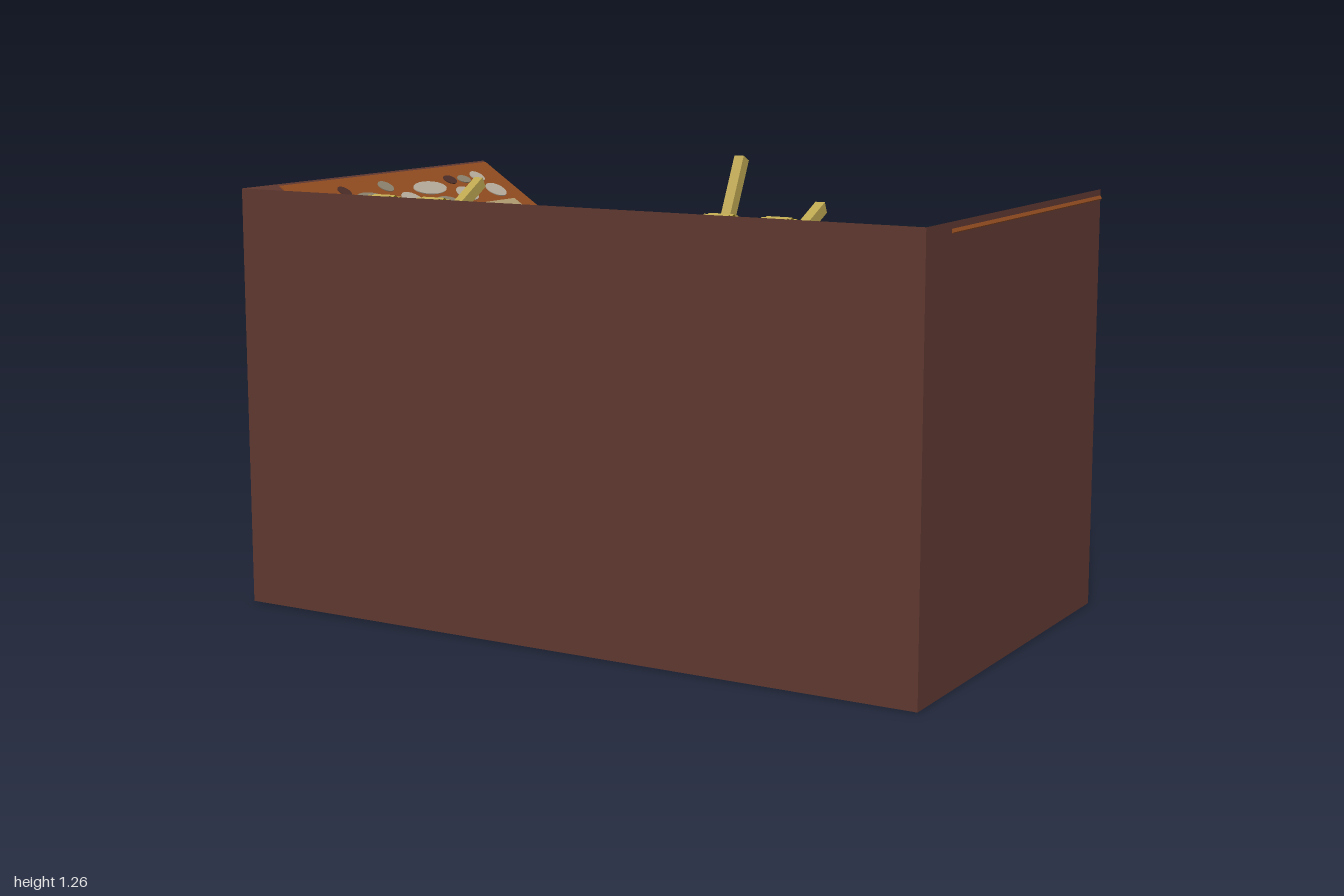
import * as THREE from 'three';

const mat = (name, color) => {
  const m = new THREE.MeshStandardMaterial({ color });
  m.name = name;
  return m;
};

export function createModel() {
  const body = mat('darkBrown', 0x5f3830), panelMat = mat('rustOrange', 0x8f4a1f);
  const brass = mat('brass', 0xbca650), olive = mat('olive', 0x7d6c12);
  const pale = mat('paleStone', 0xb3aa99), grey = mat('warmGrey', 0x89816c);
  const tan = mat('tan', 0xb09a70), dark = mat('deepBrown', 0x4a2c26);
  const dialMat = mat('bronze', 0x8a6a38);

  const model = new THREE.Group();
  model.name = 'controlDesk';
  const add = (parent, name, geo, material, x = 0, y = 0, z = 0) => {
    const m = new THREE.Mesh(geo, material);
    m.name = name;
    m.position.set(x, y, z);
    parent.add(m);
    return m;
  };
  const addGroup = (parent, name, x, y, z) => {
    const g = new THREE.Group();
    g.name = name;
    g.position.set(x, y, z);
    parent.add(g);
    return g;
  };

  // U-shaped desk: the same sloped section runs along both wings and the front
  const LOW = 0.926, HIGH = 1.135, IN = 0.71, OUT = 0.995;
  const SLOPE = Math.atan2(HIGH - LOW, OUT - IN);
  const section = new THREE.Shape([[IN, 0], [OUT, 0], [OUT, HIGH], [IN, LOW]].map(p => new THREE.Vector2(...p)));
  const prism = length =>
    new THREE.ExtrudeGeometry(section, { depth: length, bevelEnabled: false }).translate(0, 0, -length / 2);
  add(model, 'leftWing', prism(1.13), body);
  add(model, 'rightWing', prism(1.13), body).rotation.y = Math.PI;
  add(model, 'frontDesk', prism(1.99).rotateY(-Math.PI / 2), body, 0, 0, -0.43);

  // Instrument plates: [across, along, half width or width, half length or length, material, layer]
  const rounds = [
    [0.08, -0.38, 0.032, 0.064, pale, 1],
    [-0.077, -0.228, 0.024, 0.026, pale, 2], [-0.077, -0.15, 0.024, 0.026, pale, 2],
    [0.035, -0.2, 0.06, 0.082, grey, 1], [0.035, -0.2, 0.04, 0.05, pale, 2], [0.035, -0.2, 0.013, 0.015, dark, 3],
    [0.11, -0.27, 0.022, 0.022, dark, 1], [0.11, -0.08, 0.024, 0.028, grey, 1],
    [-0.074, -0.01, 0.046, 0.065, grey, 1], [-0.07, 0.005, 0.022, 0.03, pale, 2],
    [0.035, -0.03, 0.04, 0.042, pale, 1], [-0.01, 0.105, 0.046, 0.064, grey, 1],
    [0.08, 0.1, 0.03, 0.075, pale, 1], [-0.085, 0.11, 0.028, 0.025, grey, 1],
    [0.035, 0.235, 0.033, 0.043, pale, 1], [0.105, 0.23, 0.02, 0.026, dark, 1],
    [0.035, 0.385, 0.032, 0.04, pale, 1], [0.1, 0.295, 0.018, 0.028, grey, 1],
    [0.105, 0.37, 0.024, 0.028, pale, 1],
  ];
  const rects = [
    [-0.042, -0.38, 0.15, 0.15, dark, 1], [-0.042, -0.38, 0.1, 0.09, panelMat, 2],
    [-0.03, -0.37, 0.065, 0.03, olive, 3],
    [-0.077, -0.19, 0.075, 0.165, dark, 1], [-0.065, 0.3, 0.1, 0.24, tan, 1],
  ];
  const T = 0.0025;

  // Panel with its instruments; the other wing carries it turned half round
  for (const side of [1, -1]) {
    const panel = addGroup(model, side > 0 ? 'leftPanel' : 'rightPanel', side * 0.8465, 1.0395, -0.072);
    panel.rotation.set(0, side > 0 ? 0 : Math.PI, 0.581);
    add(panel, 'panelBoard', new THREE.BoxGeometry(0.335, 0.025, 0.984), panelMat, 0, -0.0125, 0);
    for (const [u, w, ru, rw, m, layer] of rounds) {
      const gauge = add(panel, 'gauge', new THREE.CylinderGeometry(1, 1, T * layer, 20), m, u, T * layer / 2, w);
      gauge.scale.set(ru, 1, rw);
    }
    for (const [u, w, wu, ww, m, layer] of rects)
      add(panel, 'instrumentPlate', new THREE.BoxGeometry(wu, T * layer, ww), m, u, T * layer / 2, w);
  }

  // Toothed wheels half sunk in the front desk, each with a lever
  const toothed = (radius, depth, teeth, count) => {
    const pts = [];
    for (let i = 0; i < count * 2; i++) {
      const a = i * Math.PI / count, r = i % 2 ? radius - teeth : radius;
      pts.push(new THREE.Vector2(r * Math.cos(a), r * Math.sin(a)));
    }
    return new THREE.ExtrudeGeometry(new THREE.Shape(pts), { depth, bevelEnabled: false }).translate(0, 0, -depth / 2);
  };
  const levers = [[-0.655, 80, 0.25], [-0.495, 60, 0.262], [0.37, 26, 0.262], [0.53, 65, 0.262]];
  for (const [x, degrees, length] of levers) {
    const unit = addGroup(model, 'leverUnit', x, 1.014, 0.4);
    add(unit, 'leverWheel', toothed(0.107, 0.07, 0.006, 26).rotateY(Math.PI / 2), [olive, brass]);
    const lever = add(unit, 'lever', new THREE.BoxGeometry(0.026, length, 0.03).translate(0, length / 2, 0), brass);
    lever.rotation.x = -degrees * Math.PI / 180;
  }

  // Round dial lying on the front slope
  const dial = addGroup(model, 'dial', -0.3, LOW + 0.14 * Math.tan(SLOPE), 0.42);
  dial.rotation.x = -SLOPE;
  add(dial, 'dialDisc', toothed(0.112, 0.03, 0.004, 30).rotateX(-Math.PI / 2), dialMat);
  add(dial, 'dialScale', new THREE.RingGeometry(0.025, 0.08, 24, 1, 0, Math.PI).rotateX(-Math.PI / 2), pale, 0, 0.018, 0);

  return model;
}
